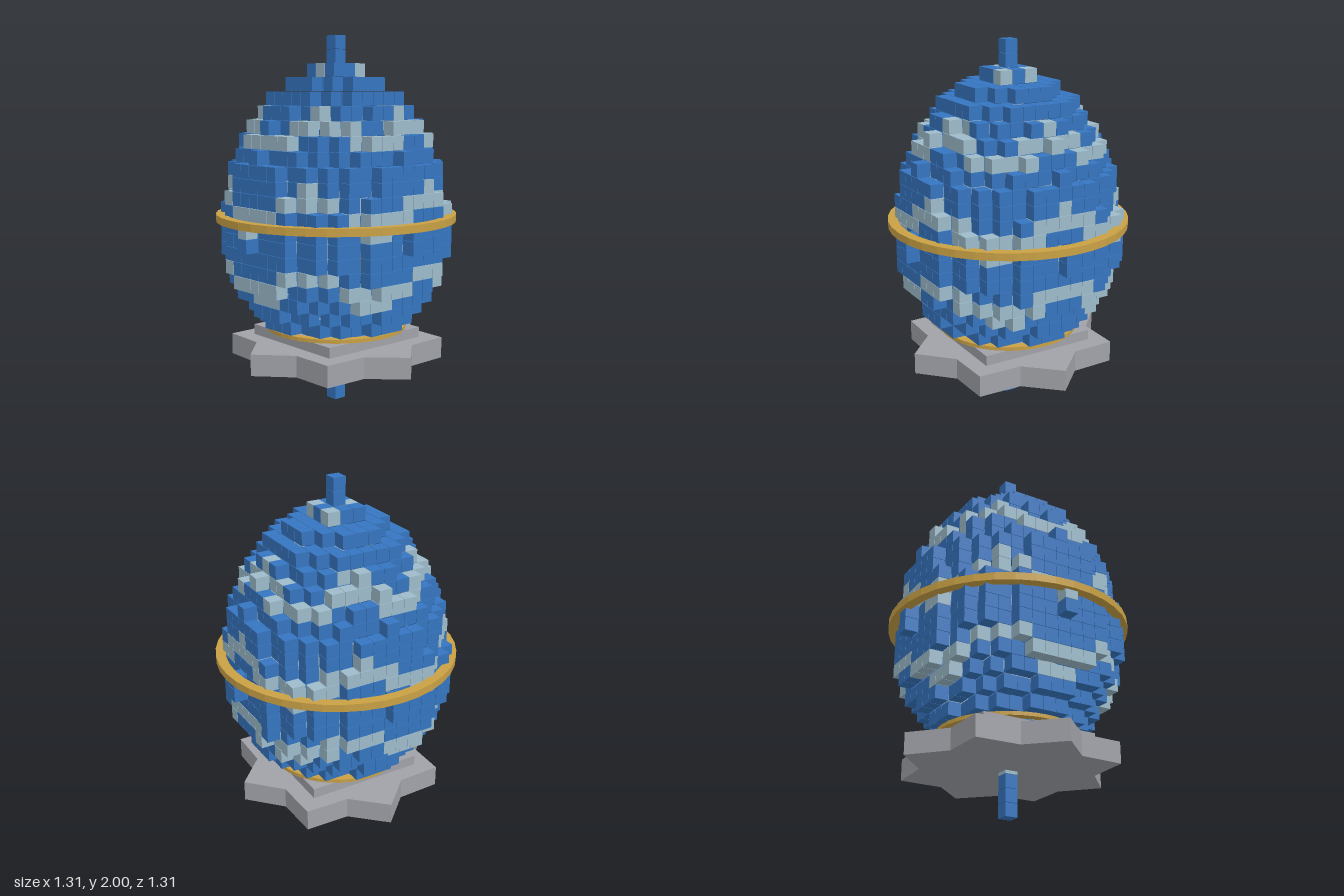
import * as THREE from 'three';
import { mergeGeometries } from 'three/addons/utils/BufferGeometryUtils.js';

const PITCH = 2 / 27;     // cell spacing, 27 rows in 2 units
const CUBE = 0.072;       // cube edge, leaving a hairline gap
const MID = 12.3;         // widest row of the egg

const material = (name, color, extra = {}) => {
  const m = new THREE.MeshStandardMaterial({ color, ...extra });
  m.name = name;
  return m;
};

// Squared radius of the egg, in cells, at a row
function radiusSq(row) {
  if (row === 24) return 2;
  if (row > 24 || row < 4) return row >= 0 && row < 27 ? 0 : -1;
  const d = (row - MID) / (row > MID ? 11.7 : 8.4);
  return 64.4 * (1 - d * d);
}
const inside = (x, row, z) => x * x + z * z <= radiusSq(row);

// Wavy bands: five waves around the egg, repeating up its height
function isBand(x, row, z) {
  if (x === 0 && z === 0) return row === 3;
  const wave = 0.9 * Math.sin(5 * Math.atan2(z, x));
  const spacing = Math.PI * 2 / 1.2;
  const t = (row + wave - 3.96) / spacing;
  return Math.abs(t - Math.round(t)) * spacing < 0.72;
}

// Flat ring with faceted sides and a rectangular section
function ring(name, inner, outer, y0, y1, sides, mat) {
  const profile = [[inner, y0], [outer, y0], [outer, y1], [inner, y1], [inner, y0]]
    .map(([r, y]) => new THREE.Vector2(r, y));
  const geo = new THREE.LatheGeometry(profile, sides).toNonIndexed();
  geo.computeVertexNormals();
  const mesh = new THREE.Mesh(geo, mat);
  mesh.name = name;
  return mesh;
}

export function createModel() {
  const model = new THREE.Group();
  model.name = 'cubeEgg';
  const blue = material('blue', 0x3575c0);
  const pale = material('paleBlue', 0x9dbbcb);
  const gold = material('gold', 0xc9a145, { flatShading: true });
  const grey = material('grey', 0xa0a2a8);

  // Hollow shell of cubes, with a spike at the top and bottom
  const shell = [], bands = [];
  for (let row = 0; row < 27; row++)
    for (let x = -8; x <= 8; x++)
      for (let z = -8; z <= 8; z++) {
        if (!inside(x, row, z)) continue;
        const buried = inside(x + 1, row, z) && inside(x - 1, row, z) &&
          inside(x, row + 1, z) && inside(x, row - 1, z) &&
          inside(x, row, z + 1) && inside(x, row, z - 1);
        if (buried) continue;
        const cube = new THREE.BoxGeometry(CUBE, CUBE, CUBE);
        cube.translate(x * PITCH, (row + 0.5) * PITCH, z * PITCH);
        (isBand(x, row, z) ? bands : shell).push(cube);
      }
  const shellMesh = new THREE.Mesh(mergeGeometries(shell), blue);
  shellMesh.name = 'eggShell';
  const bandMesh = new THREE.Mesh(mergeGeometries(bands), pale);
  bandMesh.name = 'wavyBands';
  model.add(shellMesh, bandMesh);

  // Gold rings
  model.add(ring('middleRing', 0.6, 0.653, 1.012, 1.052, 40, gold));
  model.add(ring('lowerRing', 0.34, 0.385, 0.413, 0.433, 40, gold));

  // Eight-pointed star base
  const star = new THREE.Shape();
  for (let i = 0; i < 16; i++) {
    const r = i % 2 ? 0.455 : 0.585, a = i * Math.PI / 8;
    star[i ? 'lineTo' : 'moveTo'](r * Math.cos(a), r * Math.sin(a));
  }
  star.closePath();
  const starGeo = new THREE.ExtrudeGeometry(star, { depth: 0.115, bevelEnabled: false });
  starGeo.rotateX(-Math.PI / 2).translate(0, 0.24, 0);
  const base = new THREE.Mesh(starGeo, grey);
  base.name = 'starBase';

  // Square slab on the base
  const slab = new THREE.Mesh(new THREE.BoxGeometry(0.65, 0.056, 0.65), grey);
  slab.position.y = 0.383;
  slab.name = 'baseSlab';
  model.add(base, slab);
  return model;
}
